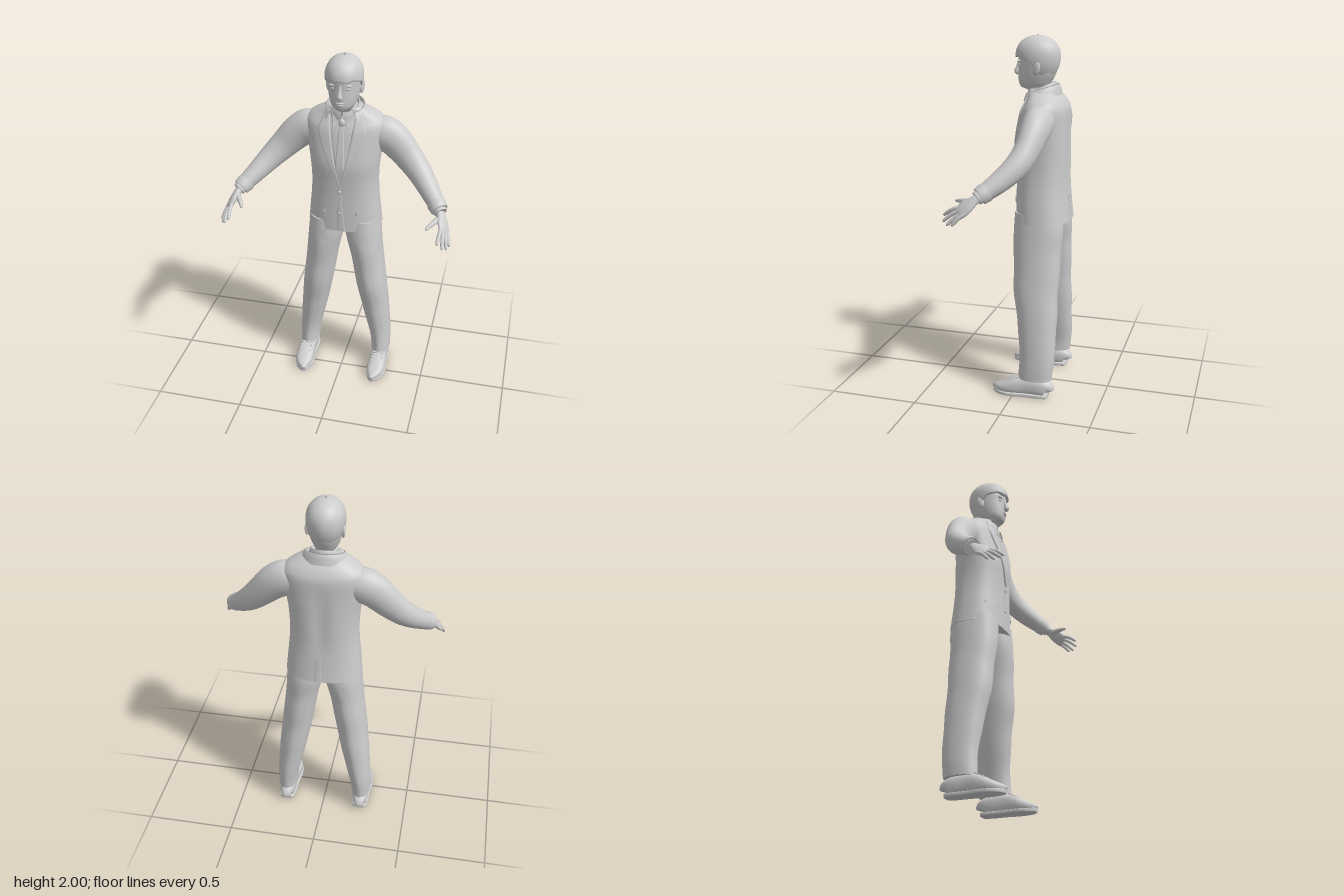
import * as THREE from 'three';

const grey = new THREE.MeshStandardMaterial({ color: 0xcccccc, side: THREE.DoubleSide });
grey.name = 'plain grey';
const V = (x, y, z) => new THREE.Vector3(x, y, z);
const bend = (v, p) => Math.sign(v) * Math.abs(v) ** (2 / p);

// Catmull-Rom through every column of a small table
function smooth(table, steps = 5) {
  const out = [];
  for (let i = 0; i < table.length - 1; i++) {
    for (let s = 0; s < steps; s++) {
      const t = s / steps;
      out.push(table[i].map((b, k) => {
        const a = table[Math.max(i - 1, 0)][k], c = table[i + 1][k];
        const d = table[Math.min(i + 2, table.length - 1)][k];
        return b + 0.5 * t * (c - a + t * (2 * a - 5 * b + 4 * c - d + t * (3 * (b - c) + d - a)));
      }));
    }
  }
  out.push(table[table.length - 1]);
  return out;
}

// Skin over rows of points; closed rows wrap round, caps close the ends
function loft(rows, closed = true, caps = true) {
  const pos = [], idx = [], n = rows[0].length;
  rows.forEach(r => r.forEach(p => pos.push(p.x, p.y, p.z)));
  for (let i = 0; i < rows.length - 1; i++) {
    for (let j = 0; j < (closed ? n : n - 1); j++) {
      const a = i * n + j, b = i * n + (j + 1) % n;
      idx.push(a, a + n, b, b, a + n, b + n);
    }
  }
  if (closed && caps) [rows[0], rows[rows.length - 1]].forEach((r, end) => {
    const base = pos.length / 3, c = V(0, 0, 0);
    r.forEach(p => { pos.push(p.x, p.y, p.z); c.addScaledVector(p, 1 / n); });
    pos.push(c.x, c.y, c.z);
    for (let j = 0; j < n; j++) {
      const a = base + j, b = base + (j + 1) % n;
      idx.push(...(end ? [base + n, b, a] : [base + n, a, b]));
    }
  });
  const g = new THREE.BufferGeometry();
  g.setAttribute('position', new THREE.Float32BufferAttribute(pos, 3));
  g.setIndex(idx);
  g.computeVertexNormals();
  return g;
}

// Upright body from rows of [y, cx, cz, rx, rz]; shape(point, sin) may adjust each point
function upright(table, n, p, shape = q => q) {
  return loft(table.map(([y, cx, cz, rx, rz]) => Array.from({ length: n }, (_, j) => {
    const a = j / n * Math.PI * 2, s = Math.sin(a);
    return shape(V(cx + rx * bend(Math.cos(a), p), y, cz + rz * bend(s, p)), s);
  })));
}

// Limb along rows of [x, y, z, ru, rv], u lying along the hint
function limb(table, hint, n = 20, p = 2) {
  const at = i => V(...table[Math.min(Math.max(i, 0), table.length - 1)].slice(0, 3));
  return loft(table.map((r, i) => {
    const T = at(i + 1).sub(at(i - 1)).normalize();
    const U = hint.clone().addScaledVector(T, -hint.dot(T)).normalize();
    const W = U.clone().cross(T);
    return Array.from({ length: n }, (_, j) => {
      const a = j / n * Math.PI * 2;
      return at(i).addScaledVector(U, r[3] * bend(Math.cos(a), p)).addScaledVector(W, r[4] * bend(Math.sin(a), p));
    });
  }));
}

const torsoRows = smooth([
  [0.995, 0, -0.118, 0.21, 0.152], [1.1, 0, -0.113, 0.2, 0.146], [1.2, 0, -0.11, 0.19, 0.142],
  [1.3, 0, -0.108, 0.187, 0.143], [1.4, 0, -0.105, 0.194, 0.145], [1.5, 0, -0.112, 0.208, 0.135],
  [1.6, 0, -0.122, 0.222, 0.121], [1.645, 0, -0.125, 0.203, 0.103], [1.68, 0, -0.118, 0.155, 0.085],
  [1.715, 0, -0.1, 0.09, 0.068]]);

// Depth of the jacket surface at x, y
function jacketZ(x, y, side = 1) {
  let i = 0;
  while (i < torsoRows.length - 2 && torsoRows[i + 1][0] < y) i++;
  const A = torsoRows[i], B = torsoRows[i + 1], t = Math.min(Math.max((y - A[0]) / (B[0] - A[0]), 0), 1);
  const [cz, rx, rz] = [2, 3, 4].map(k => A[k] + (B[k] - A[k]) * t);
  return cz + side * rz * Math.max(0, 1 - Math.abs(x / rx) ** 2.4) ** (1 / 2.4);
}

// Cloth panel laid on the jacket between two edge lines of [x, y]
function panel(left, right, lift, side = 1) {
  const m = 8, L = smooth(left, 4), R = smooth(right, 4);
  return loft(L.map((l, i) => Array.from({ length: m + 1 }, (_, j) => {
    const t = Math.min(Math.max((j - 1) / (m - 2), 0), 1);
    const x = l[0] + (R[i][0] - l[0]) * t, y = l[1] + (R[i][1] - l[1]) * t;
    return V(x, y, jacketZ(x, y, side) + side * (j === 0 || j === m ? -0.004 : lift));
  })), false);
}

export function createModel() {
  const model = new THREE.Group();
  model.name = 'man in suit';
  const add = (name, g) => {
    const mesh = new THREE.Mesh(g, grey);
    mesh.name = name;
    model.add(mesh);
  };
  // Adds a part and its mirror image, with the face order turned round
  const pair = (name, g) => {
    add('left ' + name, g);
    const m = g.clone().scale(-1, 1, 1);
    const ix = m.index ? Array.from(m.index.array) : Array.from({ length: m.attributes.position.count }, (_, i) => i);
    for (let i = 0; i < ix.length; i += 3) [ix[i], ix[i + 1]] = [ix[i + 1], ix[i]];
    m.setIndex(ix);
    add('right ' + name, m);
  };
  const ball = (x, y, z, rx, ry, rz) => new THREE.SphereGeometry(1, 20, 14).scale(rx, ry, rz).translate(x, y, z);

  // Jacket body with a hollow down the spine
  add('jacket', upright(torsoRows, 56, 2.4, (q, s) => {
    if (s < 0 && q.y > 1.12 && q.y < 1.6) {
      q.z += 0.012 * Math.exp(-((q.x / 0.035) ** 2)) * Math.sin((q.y - 1.12) / 0.48 * Math.PI);
    }
    return q;
  }));
  const inner = [[0, 1.29], [0.03, 1.42], [0.05, 1.53], [0.06, 1.6], [0.072, 1.675]];
  pair('lapel', panel(inner, [[0.004, 1.27], [0.065, 1.42], [0.118, 1.55], [0.13, 1.605], [0.1, 1.68]], 0.009));
  add('shirt', panel(inner.map(([x, y]) => [-x, y]), inner, 0.001));
  const tie = [[0.008, 1.29], [0.026, 1.36], [0.02, 1.5], [0.012, 1.625]];
  add('tie', panel(tie.map(([x, y]) => [-x, y]), tie, 0.006));
  add('tie knot', ball(0, 1.638, -0.014, 0.019, 0.023, 0.013));
  add('jacket front edge', panel([[-0.012, 1.0], [-0.012, 1.15], [-0.01, 1.28]], [[0.03, 1.0], [0.012, 1.15], [0.005, 1.28]], 0.003));
  add('back vent', panel([[-0.004, 1.0], [-0.004, 1.14]], [[0.03, 1.0], [0.02, 1.14]], 0.004, -1));
  pair('pocket flap', panel([[0.085, 1.105], [0.085, 1.127]], [[0.168, 1.1], [0.168, 1.122]], 0.006));
  [1.11, 1.245].forEach(y => add('jacket button', ball(-0.002, y, jacketZ(0, y) + 0.004, 0.01, 0.01, 0.005)));

  // Collars rise to the back of the neck
  const collar = (rows, gap) => loft(rows.map(([y, rx, rz, tilt]) => Array.from({ length: 33 }, (_, j) => {
    const a = Math.PI / 2 + gap + j / 32 * (Math.PI * 2 - 2 * gap);
    return V(rx * Math.cos(a), y - tilt * Math.sin(a), -0.098 + rz * Math.sin(a));
  })), false);
  add('jacket collar', collar([[1.668, 0.132, 0.108, 0.018], [1.695, 0.117, 0.102, 0.025], [1.715, 0.106, 0.095, 0.026],
    [1.718, 0.098, 0.088, 0.026], [1.66, 0.09, 0.08, 0.02]], 0.7));
  add('shirt collar', collar([[1.66, 0.092, 0.085, 0.03], [1.705, 0.082, 0.084, 0.035], [1.727, 0.077, 0.08, 0.03],
    [1.727, 0.07, 0.073, 0.03], [1.67, 0.066, 0.07, 0.03]], 0.06));
  pair('shirt collar point', panel([[0.04, 1.605], [0.015, 1.64], [0.008, 1.67]], [[0.045, 1.605], [0.055, 1.645], [0.06, 1.68]], 0.007));

  // Sleeves, cuffs and sleeve buttons
  const along = V(0, 0, 1);
  pair('sleeve', limb(smooth([
    [0.15, 1.565, -0.13, 0.08, 0.08], [0.205, 1.553, -0.13, 0.082, 0.098], [0.27, 1.515, -0.126, 0.076, 0.094],
    [0.35, 1.435, -0.108, 0.066, 0.08], [0.42, 1.365, -0.072, 0.064, 0.068], [0.49, 1.295, -0.002, 0.056, 0.055],
    [0.556, 1.232, 0.078, 0.043, 0.043]]), along, 28));
  pair('cuff', limb([[0.528, 1.258, 0.045, 0.046, 0.046], [0.532, 1.254, 0.05, 0.052, 0.052],
    [0.555, 1.233, 0.077, 0.047, 0.047]], along, 24));
  pair('shirt cuff', limb([[0.545, 1.242, 0.066, 0.038, 0.038], [0.564, 1.224, 0.09, 0.036, 0.036]], along));
  for (let i = 0; i < 3; i++) pair('sleeve button', ball(0.56 - i * 0.017, 1.263 + i * 0.015, 0.035 - i * 0.02, 0.006, 0.006, 0.006));

  // Hands with spread fingers
  const across = V(0.48, -0.36, -0.8);
  pair('palm', limb(smooth([[0.55, 1.236, 0.07, 0.026, 0.021], [0.567, 1.215, 0.1, 0.028, 0.02],
    [0.584, 1.185, 0.137, 0.041, 0.018], [0.597, 1.155, 0.167, 0.04, 0.014], [0.601, 1.147, 0.177, 0.03, 0.008]]), across));
  [[0.572, 1.125, 0.268], [0.6, 1.1, 0.262], [0.62, 1.085, 0.235], [0.632, 1.088, 0.205]].forEach((tip, i) => {
    const base = V(0.593, 1.165, 0.157).addScaledVector(across, -0.029 + i * 0.02), end = V(...tip);
    const rows = [[0, 0.011], [0.5, 0.0105], [0.85, 0.009], [0.96, 0.006], [1, 0.001]].map(([t, r]) => {
      const q = base.clone().lerp(end, t);
      return [q.x, q.y + 0.008 * Math.sin(t * Math.PI), q.z, r, r];
    });
    pair('finger', limb(smooth(rows, 3), across, 12));
  });
  pair('thumb', limb(smooth([[0.567, 1.208, 0.112, 0.016, 0.016], [0.541, 1.2, 0.157, 0.015, 0.015],
    [0.52, 1.195, 0.195, 0.011, 0.011], [0.508, 1.19, 0.22, 0.007, 0.007], [0.505, 1.189, 0.226, 0.001, 0.001]], 3), across, 12));

  // Trouser legs with pressed creases front and back
  pair('trouser leg', upright(smooth([
    [0.105, 0.225, -0.125, 0.055, 0.093], [0.2, 0.22, -0.128, 0.06, 0.095], [0.4, 0.19, -0.125, 0.077, 0.107],
    [0.6, 0.16, -0.11, 0.087, 0.123], [0.8, 0.131, -0.105, 0.092, 0.13], [0.95, 0.107, -0.108, 0.103, 0.138],
    [1.05, 0.1, -0.11, 0.1, 0.13]]), 32, 2.2, (q, s) => {
    if (Math.abs(s) > 0.999 && q.y < 0.9) q.z += Math.sign(s) * 0.005;
    q.z += 0.004 * Math.sin(q.y * 19) * Math.sin(q.y * 7);
    return q;
  }));

  // Shoes: rows of z, half width, height, middle x
  const shoe = smooth([[-0.2, 0.022, 0.07, 0.225], [-0.192, 0.037, 0.095, 0.225], [-0.15, 0.045, 0.112, 0.225],
    [-0.07, 0.046, 0.118, 0.225], [-0.01, 0.052, 0.104, 0.226], [0.04, 0.053, 0.078, 0.225], [0.08, 0.043, 0.06, 0.221],
    [0.11, 0.023, 0.046, 0.215], [0.125, 0.008, 0.034, 0.213]], 4);
  pair('shoe', limb(shoe.map(([z, w, h, x]) => [x, h / 2 + 0.002, z, w, h / 2 - 0.002]), V(1, 0, 0), 28, 2.5));
  pair('sole', limb(shoe.map(([z, w, , x]) => [x, 0.011, z, w + 0.003, 0.011]), V(1, 0, 0), 28, 6));
  for (let i = 0; i < 4; i++) {
    pair('lace', new THREE.BoxGeometry(0.066, 0.006, 0.009).rotateX(0.35).translate(0.225, 0.11 - i * 0.008, -0.028 + i * 0.017));
  }

  // Head and neck
  add('head', upright(smooth([
    [1.62, 0, -0.1, 0.064, 0.066], [1.7, 0, -0.09, 0.062, 0.066], [1.722, 0, -0.06, 0.053, 0.078],
    [1.745, 0, -0.057, 0.068, 0.088], [1.79, 0, -0.068, 0.081, 0.102], [1.84, 0, -0.075, 0.088, 0.108],
    [1.9, 0, -0.077, 0.09, 0.111], [1.95, 0, -0.075, 0.075, 0.09], [1.98, 0, -0.075, 0.03, 0.04]]), 40, 2));
  add('nose', limb(smooth([[0, 1.865, 0.027, 0.008, 0.01], [0, 1.83, 0.037, 0.01, 0.012], [0, 1.806, 0.044, 0.016, 0.016],
    [0, 1.796, 0.04, 0.015, 0.012], [0, 1.79, 0.034, 0.006, 0.006]], 4), V(1, 0, 0), 16));
  add('upper lip', ball(0, 1.768, 0.026, 0.026, 0.006, 0.013));
  add('lower lip', ball(0, 1.757, 0.024, 0.021, 0.007, 0.013));
  add('chin', ball(0, 1.733, 0.008, 0.03, 0.016, 0.018));
  pair('eye', ball(0.036, 1.845, 0.018, 0.015, 0.007, 0.008));
  pair('brow', ball(0.037, 1.864, 0.018, 0.024, 0.006, 0.012).rotateZ(0));
  pair('ear', ball(0, 0, 0, 0.011, 0.038, 0.022).rotateX(-0.2).rotateY(-0.25).translate(0.092, 1.828, -0.088));

  // Hair cap: short fringe in front, reaching to the nape behind
  const hairRows = [];
  for (let i = 0; i <= 24; i++) {
    hairRows.push(Array.from({ length: 48 }, (_, j) => {
      const a = j / 48 * Math.PI * 2, s = Math.sin(a), k = THREE.MathUtils.smoothstep(s, -0.75, 0.6);
      const rim = 1.765 + 0.122 * k + 0.004 * Math.sin(9 * a);
      const t = Math.max(i - 1, 0) / 23, y = rim + (1.999 - rim) * Math.sin(t * Math.PI / 2);
      const d = (y - 1.885) / (y > 1.885 ? 0.1142 : 0.12);
      let r = d > 0 ? Math.max(0, 1 - d ** 2.3) ** 0.5 : 1 - 0.38 * d * d;
      r *= 1 + 0.012 * Math.sin(7 * a + y * 30) * (1 - t);
      if (i === 0) r *= 0.84;
      return V(0.102 * r * Math.cos(a), y, -0.073 + 0.124 * r * s);
    }));
  }
  add('hair', loft(hairRows, true, false));
  return model;
}
